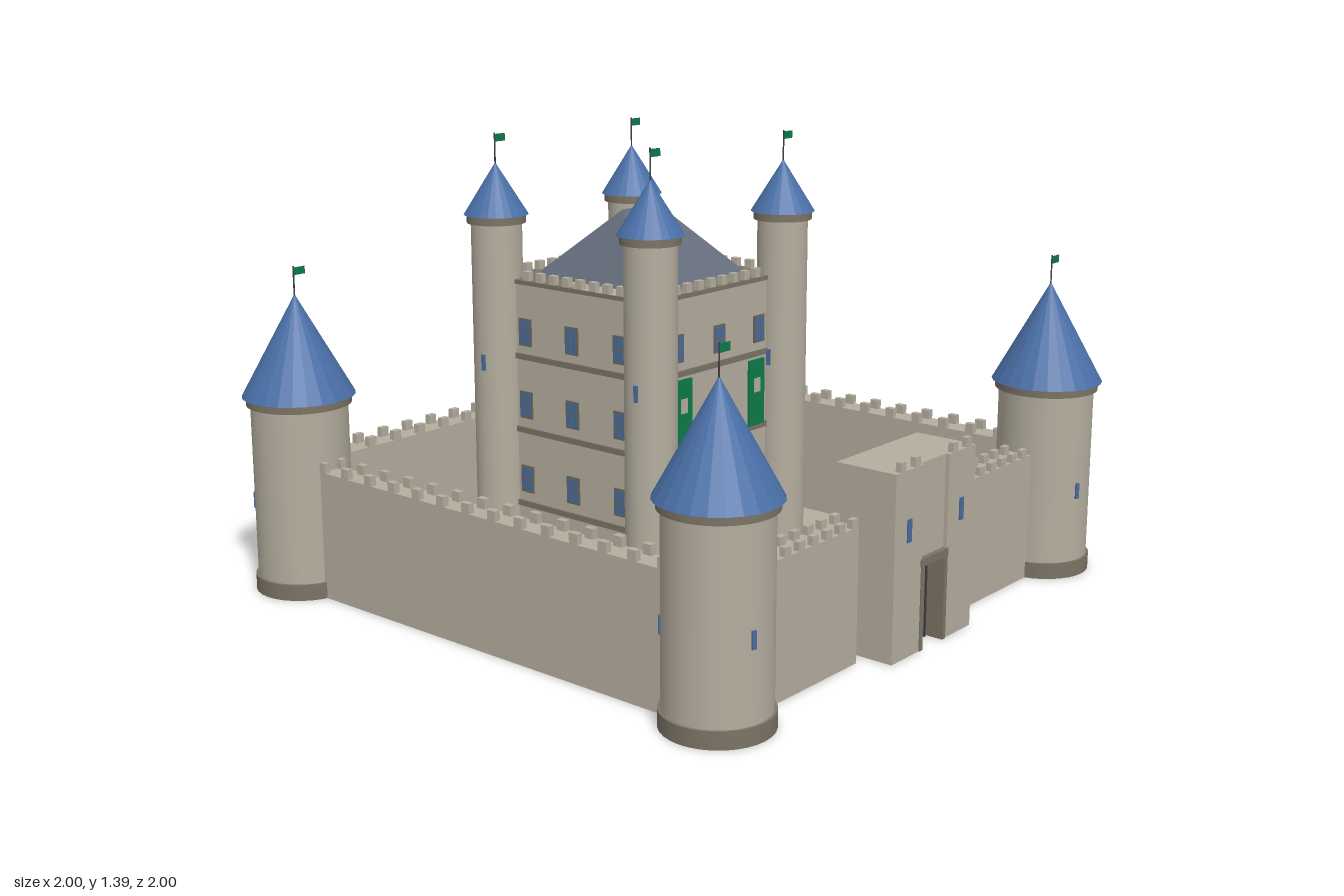
import * as THREE from 'three';

const mat = (name, color, extra = {}) => {
  const m = new THREE.MeshStandardMaterial({ color, ...extra });
  m.name = name;
  return m;
};

export function createModel() {
  const stone = mat('stone', 0xb5ae9f);
  const trim = mat('dark stone trim', 0x7b7365);
  const blue = mat('blue roof', 0x4a70a8, { flatShading: true });
  const slate = mat('slate roof', 0x646c7b, { flatShading: true });
  const glass = mat('window glass', 0x4a6c9c);
  const frame = mat('window frame', 0x6a675f);
  const green = mat('green cloth', 0x0d7a4a);
  const wood = mat('gate wood', 0x6f685a);
  const iron = mat('iron', 0x3c3f44);

  const castle = new THREE.Group();
  castle.name = 'castle';

  const add = (parent, name, geo, material, x = 0, y = 0, z = 0) => {
    const m = new THREE.Mesh(geo, material);
    m.name = name;
    m.position.set(x, y, z);
    parent.add(m);
    return m;
  };
  // box given by its ranges along each axis
  const box = (parent, name, material, x0, x1, y0, y1, z0, z1) =>
    add(parent, name, new THREE.BoxGeometry(x1 - x0, y1 - y0, z1 - z0), material,
      (x0 + x1) / 2, (y0 + y1) / 2, (z0 + z1) / 2);
  const group = (parent, name, x = 0, y = 0, z = 0) => {
    const g = new THREE.Group();
    g.name = name;
    g.position.set(x, y, z);
    parent.add(g);
    return g;
  };
  const cyl = (r, h) => new THREE.CylinderGeometry(r, r, h, 32);

  // round tower with cone roof, flag and arrow slits [angle in degrees, height]
  function tower(name, x, z, r, wallTop, eave, tip, poleTop, roofR, slits) {
    const g = group(castle, name, x, 0, z);
    add(g, 'towerBody', cyl(r, wallTop), stone, 0, wallTop / 2);
    add(g, 'towerBase', cyl(r + 0.008, 0.05), trim, 0, 0.025);
    add(g, 'towerCornice', cyl(r + 0.012, 0.025), trim, 0, eave - 0.0125);
    add(g, 'towerRoof', new THREE.ConeGeometry(roofR, tip - eave, 24), blue, 0, (tip + eave) / 2);
    add(g, 'flagPole', new THREE.CylinderGeometry(0.0025, 0.0025, poleTop - tip + 0.02, 6), iron,
      0, (poleTop + tip - 0.02) / 2);
    box(g, 'flag', green, 0, 0.042, poleTop - 0.027, poleTop - 0.004, -0.002, 0.002);
    for (const [deg, y] of slits) {
      const a = THREE.MathUtils.degToRad(deg);
      const s = add(g, 'arrowSlit', new THREE.BoxGeometry(0.014, 0.05, 0.008), glass,
        Math.sin(a) * r, y, Math.cos(a) * r);
      s.rotation.y = a;
    }
  }

  // four outer towers and four keep towers
  const kz = -0.157, kh = 0.315;
  for (const sx of [-1, 1]) for (const sz of [-1, 1]) {
    tower('cornerTower', sx * 0.826, sz * 0.826, 0.148, 0.6, 0.613, 0.925, 1.01, 0.172,
      [[-14, 0.28], [106, 0.28], [226, 0.28]]);
    tower('keepTower', sx * kh, kz + sz * kh, 0.079, 1.14, 1.145, 1.305, 1.395, 0.1,
      [[108, 0.515], [-82, 0.69]]);
  }

  // courtyard slab and curtain walls
  box(castle, 'courtyard', stone, -0.84, 0.84, 0, 0.01, -0.84, 0.82);
  box(castle, 'backWall', stone, -0.83, 0.83, 0, 0.4, -0.872, -0.79);
  for (const s of [-1, 1]) {
    const side = [s * 0.79, s * 0.87].sort((a, b) => a - b);
    box(castle, 'sideWall', stone, ...side, 0, 0.4, -0.83, 0.83);
    const front = [s * 0.255, s * 0.83].sort((a, b) => a - b);
    box(castle, 'frontWall', stone, ...front, 0, 0.4, 0.782, 0.862);
  }

  // rows of merlons on both edges of the walls
  const merlon = (x, y, z, w, h, d) =>
    add(castle, 'merlon', new THREE.BoxGeometry(w, h, d), stone, x, y + h / 2, z);
  for (let i = 0; i < 14; i++) {
    const t = -0.676 + i * 0.104;
    for (const e of [0.8, 0.861]) {
      merlon(t, 0.4, -e, 0.03, 0.03, 0.02);
      for (const s of [-1, 1]) merlon(s * e, 0.4, t, 0.02, 0.03, 0.03);
    }
  }
  for (let i = 0; i < 7; i++) for (const s of [-1, 1]) for (const z of [0.791, 0.853])
    merlon(s * (0.272 + i * 0.0615), 0.4, z, 0.028, 0.026, 0.018);

  // keep with string courses
  const keep = group(castle, 'keep', 0, 0, kz);
  box(keep, 'keepBody', stone, -kh, kh, 0, 0.95, -kh, kh);
  for (const y of [0.235, 0.475, 0.71])
    box(keep, 'stringCourse', trim, -kh - 0.006, kh + 0.006, y - 0.009, y + 0.009, -kh - 0.006, kh + 0.006);
  box(keep, 'keepCornice', trim, -kh - 0.005, kh + 0.005, 0.937, 0.95, -kh - 0.005, kh + 0.005);

  // hipped roof: the top of a box pulled in to a ridge
  const hip = new THREE.BoxGeometry(0.47, 0.213, 0.47);
  const p = hip.attributes.position;
  for (let i = 0; i < p.count; i++)
    if (p.getY(i) > 0) { p.setX(i, Math.sign(p.getX(i)) * 0.082); p.setZ(i, 0); }
  hip.computeVertexNormals();
  add(keep, 'keepRoof', hip, slate, 0, 0.95 + 0.1065, 0);

  // framed window with four panes
  function windowAt(parent, x, y) {
    const g = group(parent, 'window', x, y, kh);
    box(g, 'windowFrame', frame, -0.026, 0.026, -0.043, 0.043, -0.004, 0.005);
    for (const sx of [-1, 1]) for (const sy of [-1, 1])
      add(g, 'windowPane', new THREE.BoxGeometry(0.018, 0.034, 0.004), glass, sx * 0.0115, sy * 0.02, 0.005);
  }

  // four keep faces: windows, merlons, and banners on the front
  for (let f = 0; f < 4; f++) {
    const face = group(keep, 'keepFace');
    face.rotation.y = f * Math.PI / 2;
    for (const y of [0.317, 0.557, 0.788]) for (const x of [-0.196, 0, 0.196])
      if (f > 0 || x === 0 || y !== 0.557) windowAt(face, x, y);
    for (let i = 0; i < 8; i++)
      add(face, 'keepMerlon', new THREE.BoxGeometry(0.026, 0.028, 0.02), stone,
        -0.193 + i * 0.0551, 0.964, kh - 0.01);
    if (f === 0) for (const s of [-1, 1]) {
      add(face, 'banner', new THREE.BoxGeometry(0.075, 0.21, 0.008), green, s * 0.177, 0.588, kh + 0.008);
      add(face, 'bannerPatch', new THREE.BoxGeometry(0.03, 0.045, 0.004), stone, s * 0.177, 0.612, kh + 0.012);
    }
  }

  // gatehouse: two blocks with a bridge above the gate
  const gate = group(castle, 'gatehouse');
  for (const s of [-1, 1]) {
    const xs = [s * 0.065, s * 0.205].sort((a, b) => a - b);
    box(gate, 'gateBlock', stone, ...xs, 0, 0.553, 0.747, 0.947);
    box(gate, 'gateSlit', glass, s * 0.135 - 0.01, s * 0.135 + 0.01, 0.343, 0.41, 0.943, 0.951);
    for (const x of [0.097, 0.17])
      add(gate, 'gateMerlon', new THREE.BoxGeometry(0.025, 0.028, 0.018), stone, s * x, 0.567, 0.938);
    box(gate, 'gateJamb', trim, s * 0.06 - 0.008, s * 0.06 + 0.008, 0, 0.26, 0.89, 0.95);
  }
  box(gate, 'gateBridge', stone, -0.065, 0.065, 0.275, 0.553, 0.747, 0.935);
  box(gate, 'gateLintel', trim, -0.07, 0.07, 0.252, 0.275, 0.88, 0.951);
  box(gate, 'gateDoor', wood, -0.065, 0.065, 0, 0.26, 0.875, 0.895);
  for (let i = 0; i < 5; i++)
    box(gate, 'gateBar', iron, -0.043 + i * 0.02, -0.038 + i * 0.02, 0, 0.253, 0.893, 0.9);

  return castle;
}
